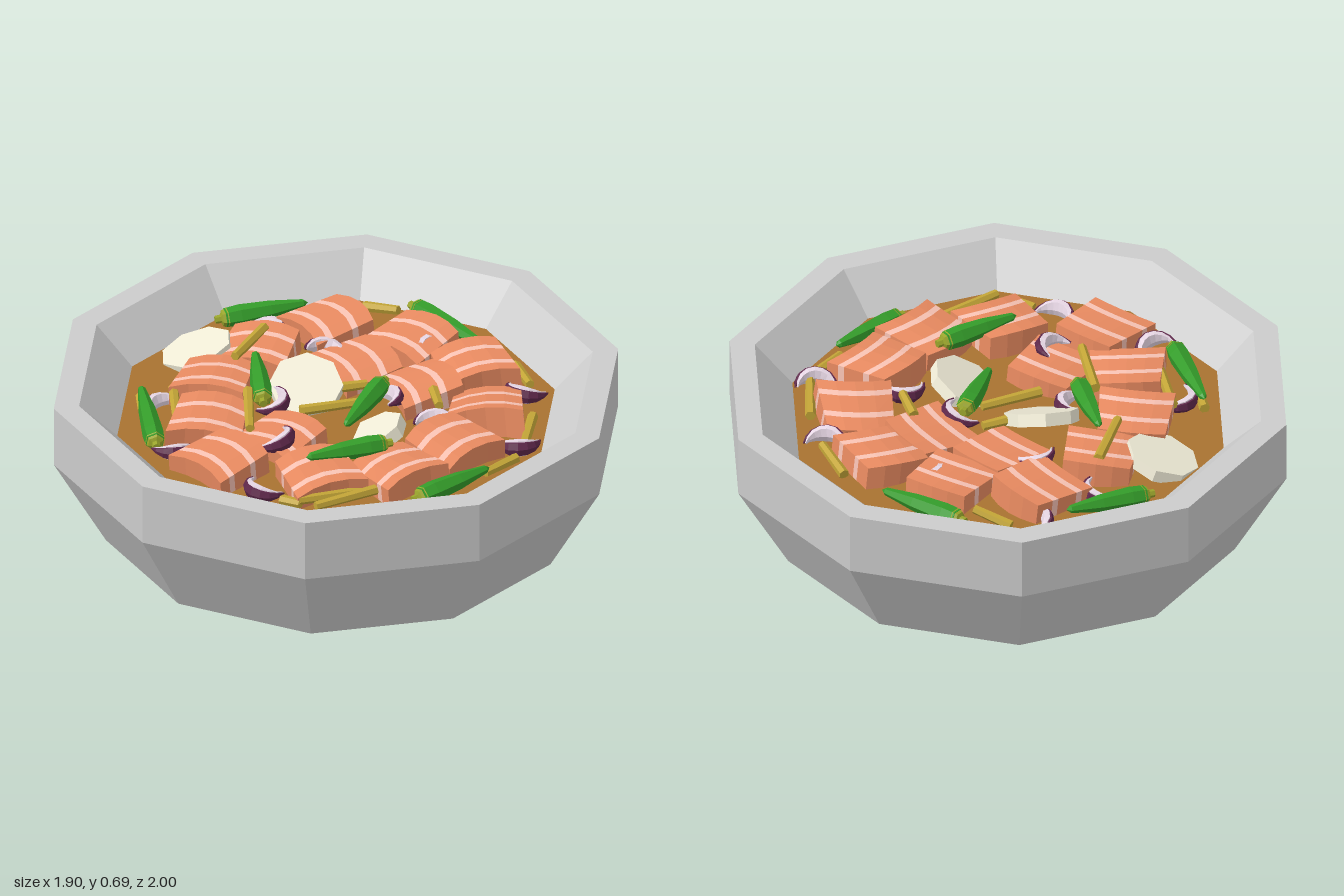
import * as THREE from 'three';

const mat = (color) => new THREE.MeshStandardMaterial({ color, flatShading: true });
const M = {
  bowl: mat(0xcccccc), broth: mat(0xa87230), fish: mat(0xe88a60), fat: mat(0xf8c3b4),
  green: mat(0x349c2a), cap: mat(0x9aa52c), bean: mat(0xc3a537), radish: mat(0xf0ecd7),
  skin: mat(0x5f284b), onion: mat(0xe6d6e4),
};
const rad = THREE.MathUtils.degToRad;
const UP = new THREE.Vector3(0, 1, 0);

function mesh(name, geo, material, parent) {
  const m = new THREE.Mesh(geo, material);
  m.name = name;
  parent.add(m);
  return m;
}

// Lay a part on the broth: turn about y, then lean on its own x and z axes
function place(part, x, y, z, turn, leanX = 0, leanZ = 0) {
  part.position.set(x, y, z);
  part.rotation.set(rad(leanX), rad(turn), rad(leanZ), 'YXZ');
  return part;
}

function lathe(points, sides) {
  return new THREE.LatheGeometry(points.map(([r, y]) => new THREE.Vector2(r, y)), sides);
}

// Fish chunk: bands of flesh and fat, bent into a shallow arc
function fishChunk() {
  const g = new THREE.Group();
  g.name = 'fishChunk';
  const edges = [-0.12, -0.055, -0.03, 0.05, 0.075, 0.12];
  for (let i = 0; i < 5; i++) {
    const d = edges[i + 1] - edges[i];
    const geo = new THREE.BoxGeometry(0.25, 0.12, d, 4, 1, 1);
    geo.translate(0, 0, edges[i] + d / 2);
    const p = geo.attributes.position;
    for (let k = 0; k < p.count; k++) {
      const x = p.getX(k), z = p.getZ(k);
      p.setX(k, x * (1 + 0.5 * z));
      p.setZ(k, z + 1.5 * x * x - 0.01);
      p.setY(k, p.getY(k) - 0.8 * x * x);
    }
    geo.computeVertexNormals();
    mesh(i % 2 ? 'fatStripe' : 'flesh', geo, i % 2 ? M.fat : M.fish, g);
  }
  return g;
}

// Crescent: half ring whose tube thins towards both ends
function crescent(R, tube, height) {
  const geo = new THREE.TorusGeometry(R, tube, 6, 8, Math.PI);
  const p = geo.attributes.position;
  for (let k = 0; k < p.count; k++) {
    const x = p.getX(k), y = p.getY(k), a = Math.atan2(y, x);
    const s = Math.max(0.12, Math.sin(a));
    const r = R + (Math.hypot(x, y) - R) * s;
    p.setXYZ(k, r * Math.cos(a), r * Math.sin(a), p.getZ(k) * s * height);
  }
  geo.rotateX(-Math.PI / 2);
  geo.computeVertexNormals();
  return geo;
}

function onionSlice() {
  const g = new THREE.Group();
  g.name = 'onionSlice';
  mesh('onionSkin', crescent(0.074, 0.019, 1.5), M.skin, g);
  mesh('onionFlesh', crescent(0.066, 0.02, 1.7), M.onion, g);
  return g;
}

// Okra pod of unit-free length along +y, stem end at the origin
function okra(length) {
  const g = new THREE.Group();
  g.name = 'okra';
  mesh('pod', lathe([[0, 0.035], [0.034, 0.035], [0.038, 0.09], [0.031, length * 0.6], [0.014, length * 0.95], [0, length]], 6), M.green, g);
  mesh('cap', lathe([[0, 0], [0.014, 0], [0.015, 0.02], [0.028, 0.025], [0.036, 0.045], [0, 0.046]], 6), M.cap, g);
  return g;
}

// Point a part's +y axis from one spot to another
function aim(part, a, b) {
  part.position.copy(a);
  part.quaternion.setFromUnitVectors(UP, b.clone().sub(a).normalize());
  return part;
}

export function createModel() {
  const root = new THREE.Group();
  root.name = 'fishStewBowl';

  // Ten-sided bowl with a thick wall, filled with broth
  mesh('bowl', lathe([[0, 0], [0.37, 0], [0.815, 0.14], [1, 0.465], [1, 0.69],
    [0.91, 0.69], [0.77, 0.55], [0.6, 0.38], [0, 0.34]], 10), M.bowl, root);
  mesh('broth', new THREE.CylinderGeometry(0.775, 0.75, 0.03, 10).translate(0, 0.54, 0), M.broth, root);

  // Fish: x, z, stripe direction, height, leans
  const fish = [
    [-0.37, -0.38, -15, 0.58, 5, 3], [-0.09, -0.5, 2, 0.57, 5, 0], [0.19, -0.5, 60, 0.58, 0, 6],
    [0.42, -0.32, 40, 0.575, -12, 6], [-0.13, -0.26, -15, 0.555, 4, -4], [0.14, -0.29, -20, 0.56, 6, 4],
    [-0.44, -0.09, 25, 0.575, 4, 4], [-0.41, 0.17, 28, 0.575, -4, 3], [-0.24, 0.39, 32, 0.575, 4, -3],
    [-0.02, 0.56, -5, 0.58, 5, 0], [0.01, 0.29, 3, 0.555, 3, 4], [0.29, 0.41, 65, 0.575, 4, 4],
    [0.47, 0.21, 80, 0.575, -4, 3], [0.5, -0.04, 86, 0.585, 4, 3],
  ];
  for (const [x, z, turn, y, lx, lz] of fish) root.add(place(fishChunk(), x, y, z, turn, lx, lz));

  // Radish slices: x, y, z, turn, leans
  const slices = [[-0.61, 0.575, 0.04, 22, 5, 18], [-0.14, 0.6, 0, 40, 28, 0], [0.22, 0.565, 0.06, 15, 8, 28]];
  for (const s of slices) {
    const disc = mesh('radishSlice', new THREE.CylinderGeometry(0.13, 0.13, 0.045, 8), M.radish, root);
    place(disc, ...s);
  }

  // Okra: stem x, z, tip x, z, stem and tip heights
  const pods = [
    [-0.27, -0.68, 0.09, -0.66, 0.59, 0.58], [-0.71, -0.16, -0.53, -0.44, 0.58, 0.6],
    [0.07, -0.18, 0.16, 0.13, 0.64, 0.62], [-0.14, 0.22, -0.38, 0, 0.63, 0.65],
    [0.38, 0.13, 0.24, 0.42, 0.64, 0.65], [0.63, 0.3, 0.7, -0.02, 0.58, 0.6],
    [-0.26, 0.64, -0.56, 0.39, 0.59, 0.61],
  ];
  for (const [x1, z1, x2, z2, y1, y2] of pods) {
    const a = new THREE.Vector3(x1, y1, z1), b = new THREE.Vector3(x2, y2, z2);
    root.add(aim(okra(a.distanceTo(b)), a, b));
  }

  // Bean sticks: ends x, z, x, z and heights
  const beans = [
    [-0.4, -0.59, -0.26, -0.61, 0.57, 0.6], [0.26, -0.64, 0.41, -0.55, 0.57, 0.59],
    [0.55, -0.41, 0.69, -0.2, 0.58, 0.58], [-0.48, -0.16, -0.41, 0.07, 0.64, 0.65],
    [-0.05, 0.13, 0.07, -0.06, 0.6, 0.6], [0.22, -0.26, 0.32, -0.18, 0.62, 0.63],
    [-0.06, -0.07, 0, -0.16, 0.6, 0.6], [-0.23, 0.2, -0.05, 0.39, 0.64, 0.64],
    [-0.48, 0.31, -0.33, 0.46, 0.6, 0.61], [0.5, 0.34, 0.42, 0.57, 0.59, 0.59],
    [0.45, 0.36, 0.35, 0.58, 0.57, 0.59], [0.28, 0.59, 0.36, 0.58, 0.57, 0.58],
    [0.69, -0.17, 0.68, -0.02, 0.57, 0.57], [-0.56, 0.39, -0.49, 0.46, 0.57, 0.57],
  ];
  for (const [x1, z1, x2, z2, y1, y2] of beans) {
    const a = new THREE.Vector3(x1, y1, z1), b = new THREE.Vector3(x2, y2, z2);
    const len = a.distanceTo(b);
    const geo = new THREE.CylinderGeometry(0.016, 0.019, len, 6).translate(0, len / 2, 0);
    aim(mesh('beanStick', geo, M.bean, root), a, b);
  }

  // Onion: x, z, direction of the bulge, height
  const onions = [
    [-0.24, -0.21, 130, 0.61], [0.03, -0.5, 170, 0.6], [0.41, -0.54, -70, 0.58], [-0.55, -0.22, 80, 0.58],
    [-0.43, -0.53, 230, 0.57], [0.63, -0.25, -50, 0.58], [0.37, -0.1, 130, 0.61], [0.1, -0.11, 70, 0.6],
    [0.02, 0.36, 0, 0.62], [-0.43, 0.39, 180, 0.58], [0.19, 0.56, -90, 0.58], [-0.24, 0.59, -20, 0.58],
    [-0.2, 0.15, 20, 0.6],
  ];
  onions.forEach(([x, z, bulge, y], i) =>
    root.add(place(onionSlice(), x, y, z, bulge - 90, (i % 3) * 8 - 8, (i % 4) * 6 - 9)));

  return root;
}
